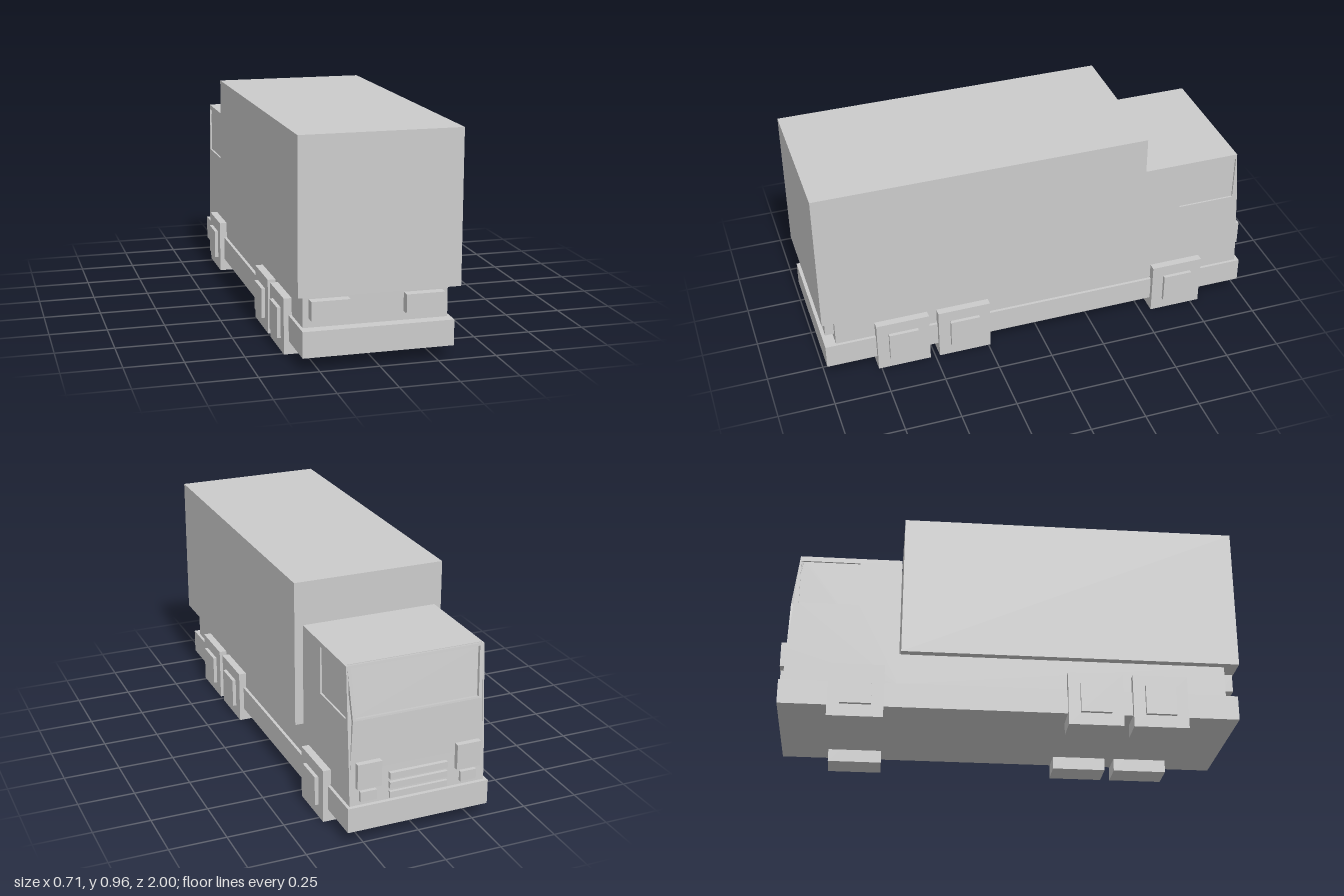
import * as THREE from 'three';

const material = new THREE.MeshStandardMaterial({ color: 0xcccccc, flatShading: true });

export function createModel() {
  const truck = new THREE.Group();
  truck.name = 'boxTruck';

  const add = (name, geometry) => {
    const mesh = new THREE.Mesh(geometry, material);
    mesh.name = name;
    truck.add(mesh);
    return mesh;
  };
  // Box given by its limits on each axis
  const box = (name, x0, x1, y0, y1, z0, z1) => {
    const mesh = add(name, new THREE.BoxGeometry(Math.abs(x1 - x0), y1 - y0, z1 - z0));
    mesh.position.set((x0 + x1) / 2, (y0 + y1) / 2, (z0 + z1) / 2);
    return mesh;
  };
  const polygon = (points) => new THREE.Shape(points.map(([a, b]) => new THREE.Vector2(a, b)));
  const extrude = (shape, depth) => new THREE.ExtrudeGeometry(shape, { depth, bevelEnabled: false });
  // Side profile (distance towards -z, height) swept across x
  const sweep = (name, shape, x0, x1) => {
    const mesh = add(name, extrude(shape, x1 - x0).rotateY(Math.PI / 2));
    mesh.position.x = x0;
  };

  // Chassis, cargo body
  box('basePlate', -0.318, 0.318, 0.057, 0.167, -1, 0.99);
  box('chassis', -0.305, 0.305, 0.167, 0.312, -0.5, 0.94);
  box('cargoBox', -0.34, 0.34, 0.31, 0.96, -0.483, 1);

  // Cab core; its upper front slope is the windscreen
  sweep('cabCore', polygon([
    [0.49, 0.165], [0.983, 0.165], [0.975, 0.32], [0.955, 0.54],
    [0.925, 0.755], [0.925, 0.77], [0.49, 0.77],
  ]), -0.297, 0.297);

  // Cab sides with recessed windows
  const side = polygon([[0.49, 0.165], [0.983, 0.165], [0.975, 0.32], [0.94, 0.77], [0.49, 0.77]]);
  side.holes.push(polygon([[0.675, 0.54], [0.675, 0.747], [0.936, 0.747], [0.936, 0.54]]));
  sweep('rightCabSide', side, -0.305, -0.297);
  sweep('leftCabSide', side, 0.297, 0.305);

  // Windscreen surround
  const surround = polygon([[-0.287, 0], [0.287, 0], [0.3, 0.232], [-0.3, 0.232]]);
  surround.holes.push(polygon([[-0.274, 0.008], [-0.286, 0.222], [0.286, 0.222], [0.274, 0.008]]));
  const frame = add('windscreenFrame', extrude(surround, 0.016));
  frame.position.set(0, 0.54, -0.97);
  frame.rotation.x = Math.atan2(0.03, 0.23);

  // Panel below the windscreen
  const panel = add('cabFrontPanel', extrude(
    polygon([[-0.3, 0], [0.3, 0], [0.287, 0.22], [-0.287, 0.22]]), 0.02));
  panel.position.set(0, 0.32, -0.976);
  panel.rotation.x = Math.atan2(0.006, 0.22);

  // Grille bars
  for (const y of [0.175, 0.218, 0.261]) box('grilleBar', -0.13, 0.13, y, y + 0.028, -0.994, -0.96);

  for (const s of [-1, 1]) {
    const label = s > 0 ? 'left' : 'right';
    // Lights
    box(label + 'Headlight', s * 0.17, s * 0.277, 0.245, 0.358, -1, -0.96);
    box(label + 'LowerLight', s * 0.19, s * 0.262, 0.185, 0.23, -0.996, -0.96);
    box(label + 'TailLight', s * 0.117, s * 0.28, 0.205, 0.285, 0.93, 0.98);
    // Square wheels and hubs
    for (const z of [-0.67, 0.36, 0.643]) {
      box(label + 'Wheel', s * 0.206, s * 0.339, 0, 0.24, z - 0.12, z + 0.12);
      box(label + 'Hub', s * 0.3, s * 0.355, 0.055, 0.187, z - 0.067, z + 0.067);
    }
  }
  return truck;
}
